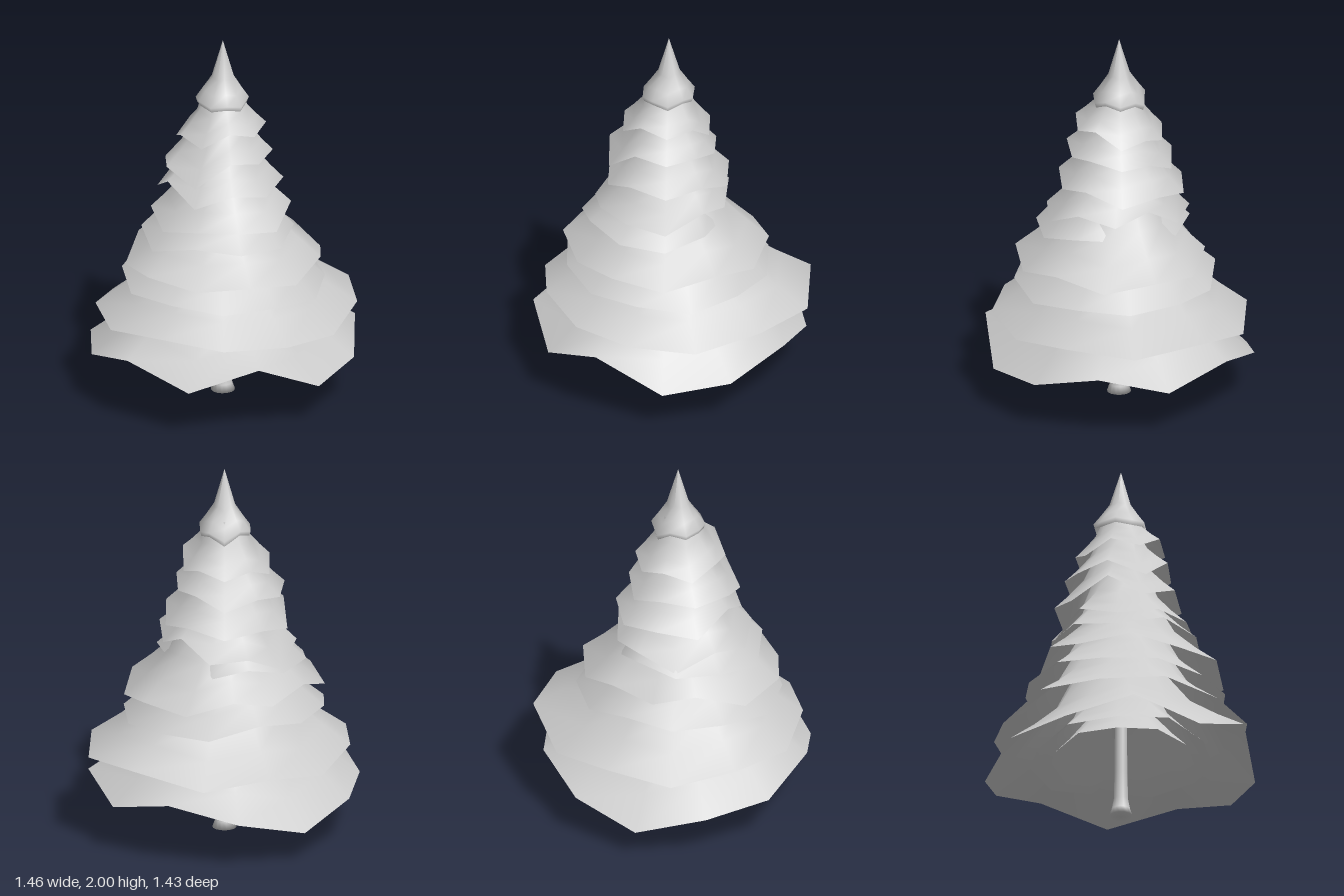
import * as THREE from 'three';

const AXIS_X = -0.035;

function seeded(seed) {
  let s = seed;
  return () => (s = (s * 16807) % 2147483647) / 2147483647;
}

// Smooth blend around the tree of four values: front, left (+x), back, right (-x)
function around(values, angle) {
  const q = (angle / (Math.PI / 2)) % 4;
  const i = Math.floor(q), t = (1 - Math.cos((q - i) * Math.PI)) / 2;
  return values[i] * (1 - t) + values[(i + 1) % 4] * t;
}

// Open skirt of branches: profile rows are [share of rim radius, share of rise].
// phase turns the corners by a share of one side; rim sets each corner's height directly.
function skirt({ sides, radii, heights, rise, jag, profile, tip, seed, rim, phase = 0 }) {
  const rand = seeded(seed * 7919 + 13);
  const pos = [], index = [];
  const meanY = heights.reduce((a, b) => a + b) / 4;
  const topY = tip ?? meanY + rise;
  const corners = Array.from({ length: sides }, (_, i) => {
    const angle = ((i + phase) / sides) * Math.PI * 2;
    const drop = (i % 2 ? 0.5 : -0.5) * jag + (rand() - 0.5) * jag;
    const r = around(radii, angle) * (rim ? 1 : 1 + (rand() - 0.5) * 0.05);
    return { angle, r, y: rim ? rim[i] : around(heights, angle) + drop };
  });
  // rim unevenness fades toward the trunk
  profile.forEach(([pr, ph]) => corners.forEach(({ angle, r, y }) => pos.push(
    AXIS_X + Math.sin(angle) * r * pr, y + (topY - y) * ph, Math.cos(angle) * r * pr)));
  for (let j = 0; j < profile.length - 1; j++) {
    for (let i = 0; i < sides; i++) {
      const a = j * sides + i, b = j * sides + (i + 1) % sides;
      index.push(a, a + sides, b, b, a + sides, b + sides);
    }
  }
  const g = new THREE.BufferGeometry();
  g.setAttribute('position', new THREE.Float32BufferAttribute(pos, 3));
  g.setIndex(index);
  g.computeVertexNormals();
  return g;
}

export function createModel() {
  const tree = new THREE.Group();
  tree.name = 'firTree';
  const bark = new THREE.MeshStandardMaterial({ color: 0xcccccc });
  const needles = new THREE.MeshStandardMaterial({ color: 0xcccccc, side: THREE.DoubleSide });

  // Trunk with a flared foot
  const trunkProfile = [[0, 0], [0.064, 0], [0.05, 0.04], [0.038, 0.1], [0.034, 0.25], [0.03, 0.9], [0, 1.5]];
  const trunk = new THREE.Mesh(
    new THREE.LatheGeometry(trunkProfile.map(([r, y]) => new THREE.Vector2(r, y)), 14), bark);
  trunk.position.x = AXIS_X;
  trunk.name = 'trunk';
  tree.add(trunk);

  // Branch layers, bottom to top; radii and heights run front, left, back, right
  const flare = [[0.36, 1], [0.56, 0.52], [0.78, 0.24], [1, 0]];
  const inner = [[0.1, 1], [0.56, 0.52], [0.78, 0.24], [1, 0]];
  const crown = [[0, 1], [0.44, 0.42], [0.78, 0.22], [1.06, 0.07], [1, 0]];
  const layers = [
    // two short skirts hidden under the lowest branches
    { name: 'innerLayer1', sides: 11, radii: [0.39, 0.39, 0.38, 0.39], heights: [0.34, 0.34, 0.32, 0.35], rise: 0.35, jag: 0.02, profile: inner },
    { name: 'innerLayer2', sides: 11, radii: [0.5, 0.5, 0.49, 0.5], heights: [0.33, 0.34, 0.3, 0.37], rise: 0.4, jag: 0.02 },
    { name: 'branchLayer1', sides: 12, radii: [0.71, 0.725, 0.72, 0.715], heights: [0.27, 0.28, 0.22, 0.34], rise: 0.5, jag: 0.06,
      rim: [0.23, 0.26, 0.35, 0.26, 0.35, 0.26, 0.17, 0.26, 0.28, 0.38, 0.27, 0.4] },
    { name: 'branchLayer2', sides: 12, phase: 0.5, radii: [0.67, 0.77, 0.66, 0.67], heights: [0.48, 0.49, 0.45, 0.53], rise: 0.45, jag: 0.04 },
    { name: 'branchLayer3', sides: 12, phase: 0.5, radii: [0.55, 0.54, 0.52, 0.55], heights: [0.66, 0.65, 0.7, 0.67], rise: 0.42, jag: 0.04 },
    { name: 'branchLayer4', sides: 12, radii: [0.54, 0.53, 0.44, 0.55], heights: [0.79, 0.76, 0.83, 0.78], rise: 0.42, jag: 0.05 },
    { name: 'branchLayer5', sides: 11, radii: [0.43, 0.28, 0.38, 0.46], heights: [0.96, 0.98, 0.96, 0.93], rise: 0.36, jag: 0.05 },
    { name: 'branchLayer6', sides: 11, radii: [0.39, 0.32, 0.37, 0.39], heights: [1.05, 1.07, 1.01, 1.04], rise: 0.35, jag: 0.06 },
    { name: 'branchLayer7', sides: 10, radii: [0.32, 0.33, 0.36, 0.33], heights: [1.22, 1.17, 1.16, 1.2], rise: 0.33, jag: 0.06 },
    { name: 'branchLayer8', sides: 10, radii: [0.27, 0.26, 0.3, 0.33], heights: [1.39, 1.36, 1.32, 1.32], rise: 0.28, jag: 0.06 },
    { name: 'branchLayer9', sides: 10, radii: [0.23, 0.23, 0.24, 0.25], heights: [1.53, 1.46, 1.47, 1.47], rise: 0.25, jag: 0.05 },
    { name: 'crown', sides: 10, radii: [0.13, 0.13, 0.135, 0.135], heights: [1.64, 1.65, 1.65, 1.65], tip: 2, jag: 0.04, profile: crown },
  ];
  layers.forEach(({ name, ...layer }, i) => {
    const mesh = new THREE.Mesh(skirt({ profile: flare, seed: i + 1, ...layer }), needles);
    mesh.name = name;
    tree.add(mesh);
  });
  return tree;
}
